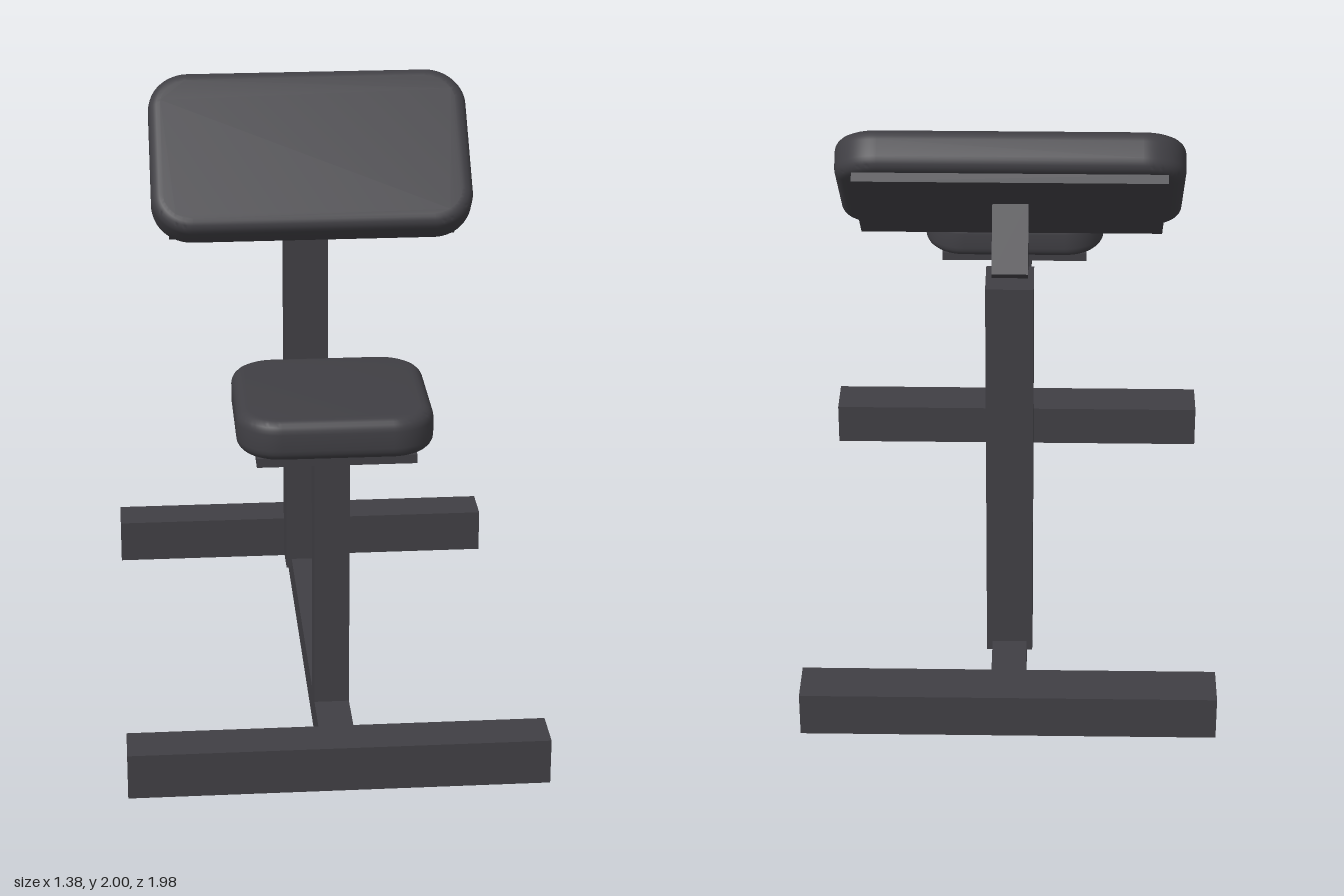
import * as THREE from 'three';
import { toCreasedNormals } from 'three/addons/utils/BufferGeometryUtils.js';

// Cushion lying in the xy plane, centred, with rounded corners and soft edges
function cushionGeometry(width, length, thickness, radius, bevel) {
  const x = width / 2 - bevel, y = length / 2 - bevel, r = radius - bevel;
  const shape = new THREE.Shape();
  shape.absarc(x - r, y - r, r, 0, Math.PI / 2);
  shape.absarc(-x + r, y - r, r, Math.PI / 2, Math.PI);
  shape.absarc(-x + r, -y + r, r, Math.PI, Math.PI * 1.5);
  shape.absarc(x - r, -y + r, r, Math.PI * 1.5, Math.PI * 2);
  shape.closePath();
  const geometry = new THREE.ExtrudeGeometry(shape, {
    depth: thickness - 2 * bevel, bevelEnabled: true, bevelSize: bevel,
    bevelThickness: bevel, bevelSegments: 5, curveSegments: 10,
  });
  geometry.translate(0, 0, bevel - thickness / 2);
  return toCreasedNormals(geometry, Math.PI / 5);
}

export function createModel() {
  const model = new THREE.Group();
  model.name = 'preacherBench';
  const charcoal = new THREE.MeshStandardMaterial({ color: 0x403f44 });
  charcoal.name = 'charcoal';

  const add = (parent, name, geometry, x, y, z, tilt = 0) => {
    const mesh = new THREE.Mesh(geometry, charcoal);
    mesh.name = name;
    mesh.position.set(x, y, z);
    mesh.rotation.x = tilt;
    parent.add(mesh);
    return mesh;
  };
  const box = (w, h, d) => new THREE.BoxGeometry(w, h, d);

  // Base: two cross feet joined by a rail
  add(model, 'frontFoot', box(1.38, 0.155, 0.155), 0, 0.0775, 0.911);
  add(model, 'backFoot', box(1.38, 0.155, 0.155), 0, 0.0775, -0.911);
  add(model, 'baseRail', box(0.116, 0.12, 1.68), 0, 0.08, 0);

  // Uprights
  add(model, 'seatPost', box(0.116, 0.97, 0.116), 0, 0.585, 0.577);
  add(model, 'armPadPost', box(0.154, 1.405, 0.154), 0, 0.8075, -0.575);
  add(model, 'armPadBracket', box(0.116, 0.245, 0.1), 0, 1.6, -0.493, 0.738);

  // A pad is a cushion on a thin backing plate, facing its local +z
  const addPad = (name, width, length, plateWidth, plateLength, y, z, tilt) => {
    const pad = new THREE.Group();
    pad.name = name;
    add(pad, name + 'Cushion', cushionGeometry(width, length, 0.135, 0.14, 0.04), 0, 0, 0);
    add(pad, name + 'Plate', box(plateWidth, plateLength, 0.03), 0, 0, -0.0825);
    pad.position.set(0, y, z);
    pad.rotation.x = tilt;
    model.add(pad);
  };
  addPad('seat', 0.63, 0.595, 0.51, 0.51, 1.1825, 0.577, -Math.PI / 2);
  addPad('armPad', 1.11, 0.62, 0.99, 0.53, 1.75, -0.355, -Math.PI / 4);

  return model;
}
